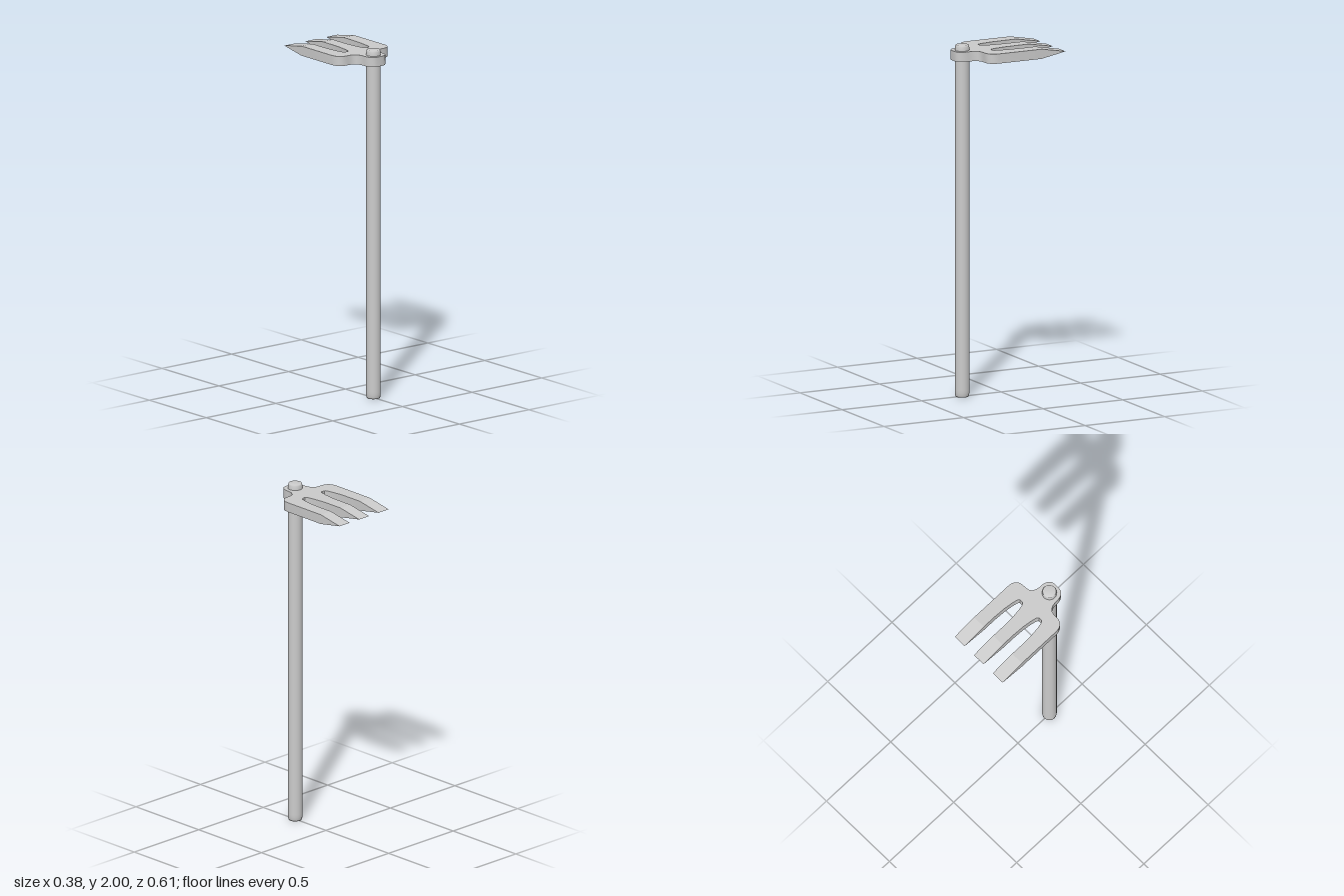
import * as THREE from 'three';
import { toCreasedNormals } from 'three/addons/utils/BufferGeometryUtils.js';

const BOTTOM = 1.915, TOP = 1.97, MID = (BOTTOM + TOP) / 2;
const TAPER = 0.155, TIP = 0.305; // distances behind the centre
const HANDLE_Z = 0.245;

// Right half of the plan outline: x, and distance towards the back
const halfOutline = [
  // collar round the handle
  [0.02, -0.303], [0.037, -0.299], [0.052, -0.286], [0.06, -0.267], [0.063, -0.245],
  // shoulder
  [0.063, -0.23], [0.067, -0.208], [0.077, -0.188], [0.09, -0.178], [0.106, -0.174], [0.125, -0.173],
  [0.145, -0.172], [0.163, -0.166], [0.178, -0.153], [0.187, -0.135], [0.19, -0.113],
  // outer tine
  [0.19, TAPER], [0.112, TAPER], [0.112, 0.07],
  // slot
  [0.109, 0], [0.102, -0.055], [0.095, -0.087], [0.091, -0.095], [0.085, -0.1],
  [0.065, -0.1], [0.059, -0.095], [0.055, -0.087], [0.048, -0.055], [0.041, 0],
  // middle tine
  [0.038, 0.07], [0.038, TAPER],
];

export function createModel() {
  const model = new THREE.Group();
  const material = new THREE.MeshStandardMaterial({ color: 0xcccccc });
  const add = (name, geometry, parent = model) => {
    const mesh = new THREE.Mesh(geometry, material);
    mesh.name = name;
    parent.add(mesh);
    return mesh;
  };

  // Round handle with slightly bevelled ends
  const profile = [
    [0, 0], [0.036, 0], [0.039, 0.008], [0.041, 0.025], [0.041, 0.04],
    [0.041, 1.96], [0.041, 1.975], [0.039, 1.992], [0.036, 2], [0, 2],
  ].map(([r, y]) => new THREE.Vector2(r, y));
  add('handle', new THREE.LatheGeometry(profile, 32)).position.z = HANDLE_Z;

  // Fork head: flat plate with collar, shoulders and tine roots
  const head = new THREE.Group();
  head.name = 'forkHead';
  model.add(head);
  const mirrored = halfOutline.map(([x, y]) => [-x, y]).reverse();
  const outline = [...halfOutline, ...mirrored].map(([x, y]) => new THREE.Vector2(x, y));
  const plate = new THREE.ExtrudeGeometry(new THREE.Shape(outline), { depth: TOP - BOTTOM, bevelEnabled: false });
  plate.rotateX(-Math.PI / 2).translate(0, BOTTOM, 0);
  add('headPlate', toCreasedNormals(plate, 0.6), head);

  // Wedge-shaped tine tips
  const wedge = new THREE.Shape([
    new THREE.Vector2(TAPER, BOTTOM), new THREE.Vector2(TIP, MID), new THREE.Vector2(TAPER, TOP),
  ]);
  for (const [name, x0, x1] of [
    ['rightTineTip', -0.19, -0.112], ['middleTineTip', -0.038, 0.038], ['leftTineTip', 0.112, 0.19],
  ]) {
    const tip = new THREE.ExtrudeGeometry(wedge, { depth: x1 - x0, bevelEnabled: false });
    add(name, tip.rotateY(Math.PI / 2).translate(x0, 0, 0), head);
  }

  return model;
}
